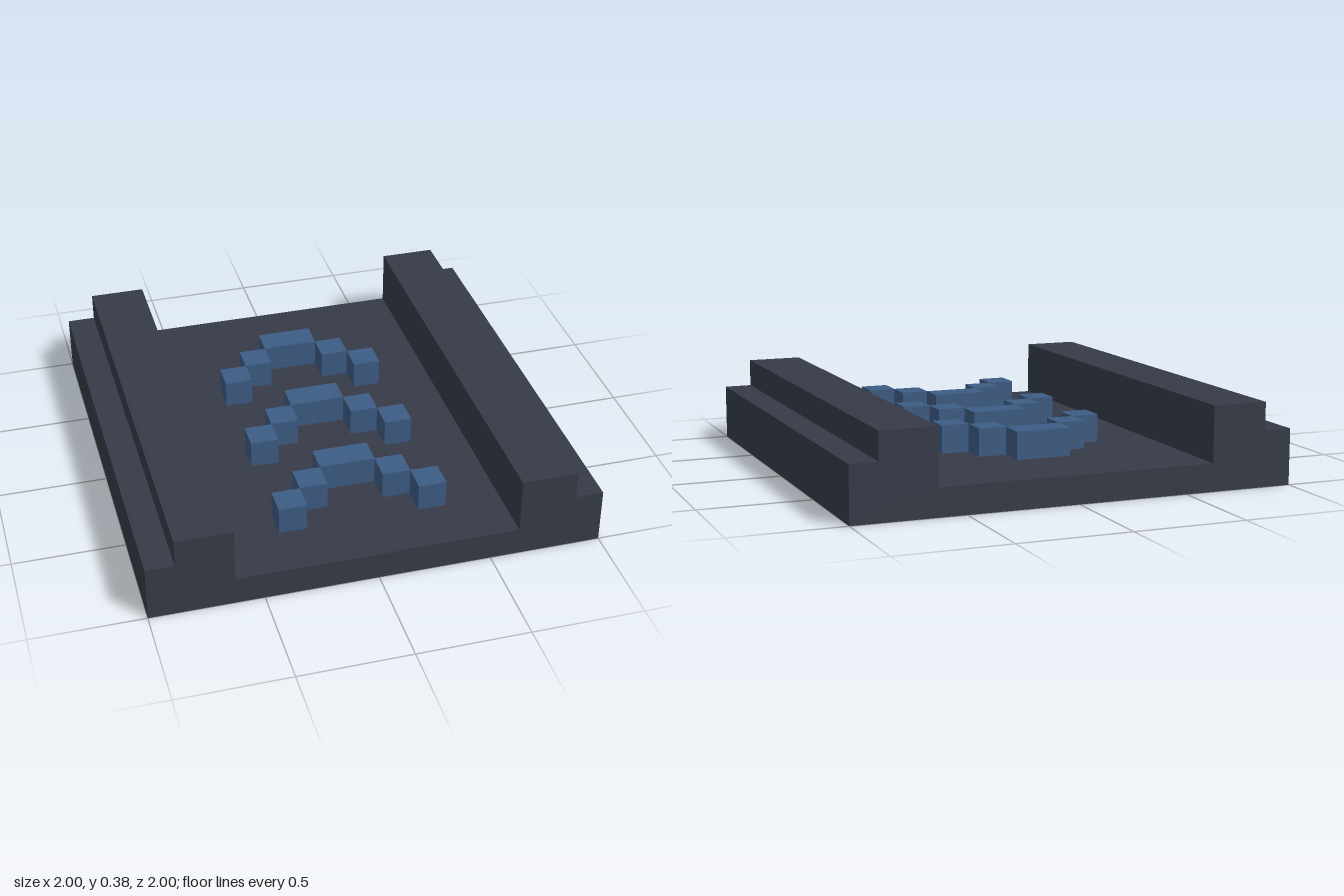
import * as THREE from 'three';

const U = 0.125; // one grid cell

export function createModel() {
  const model = new THREE.Group();
  model.name = 'chevronTrack';
  const slate = new THREE.MeshStandardMaterial({ color: 0x353b47 });
  slate.name = 'dark slate';
  const blue = new THREE.MeshStandardMaterial({ color: 0x3d5c84 });
  blue.name = 'steel blue';

  // Track bed with a stepped rail on each side, as one extruded section
  const half = [[8, 0], [8, 2], [7, 2], [7, 3], [5, 3], [5, 1]];
  const mirrored = half.map(([x, y]) => [-x, y]).reverse();
  const section = new THREE.Shape(
    [...half, ...mirrored].map(([x, y]) => new THREE.Vector2(x * U, y * U)));
  const bedGeometry = new THREE.ExtrudeGeometry(section, { depth: 16 * U, bevelEnabled: false });
  bedGeometry.translate(0, 0, -8 * U);
  const bed = new THREE.Mesh(bedGeometry, slate);
  bed.name = 'trackBed';
  model.add(bed);

  // Raised chevron arrows pointing to the back
  const addBlock = (group, name, x, z, width) => {
    const block = new THREE.Mesh(new THREE.BoxGeometry(width * U, U, U), blue);
    block.name = name;
    block.position.set(x * U, 1.5 * U, z * U);
    group.add(block);
  };
  for (const z of [-4.5, -0.5, 3.5]) {
    const chevron = new THREE.Group();
    chevron.name = 'chevron';
    addBlock(chevron, 'chevronTip', 0, z, 2);
    for (const side of [-1, 1]) {
      for (const step of [1, 2]) {
        addBlock(chevron, 'chevronArm', side * (step + 0.5), z + step, 1);
      }
    }
    model.add(chevron);
  }
  return model;
}
